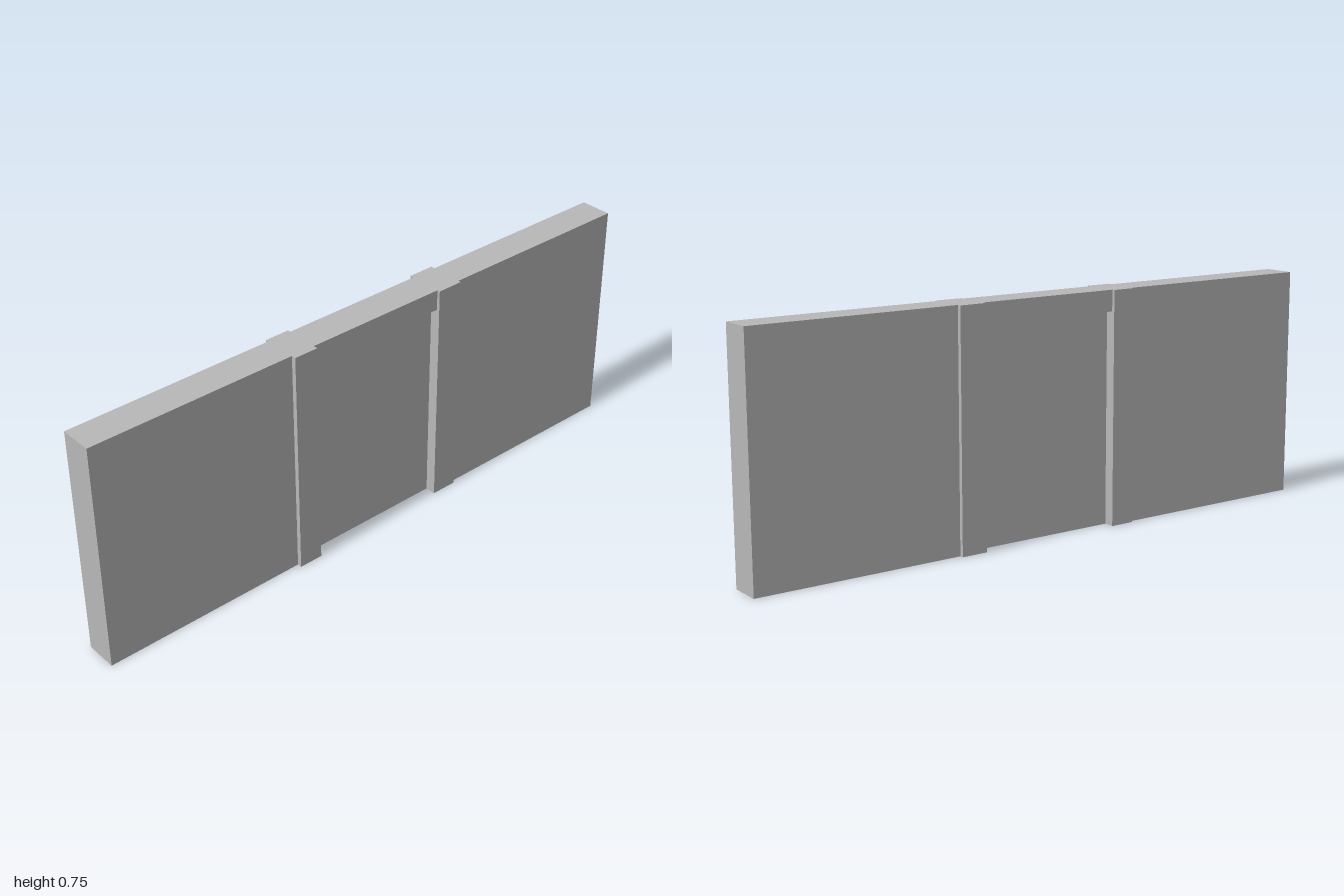
import * as THREE from 'three';

const H = 0.747; // overall height
const LINTEL_Y = 0.68; // underside of the lintel
const JAMB_Z = 0.24; // half width of the doorway
const WALL = [-0.055, 0.05]; // wall faces in x
const DOOR = [-0.03, 0.025]; // recessed door faces in x

export function createModel() {
  const group = new THREE.Group();
  const plaster = new THREE.MeshStandardMaterial({ color: 0xb8b8b8, side: THREE.DoubleSide });
  plaster.name = 'plaster grey';

  // Box from min/max ranges; can be left open underneath
  function block(name, [x0, x1], [y0, y1], [z0, z1], openBottom = false) {
    const geo = new THREE.BoxGeometry(x1 - x0, y1 - y0, z1 - z0);
    if (openBottom) {
      const index = Array.from(geo.index.array);
      index.splice(18, 6); // the -y face
      geo.setIndex(index);
    }
    geo.clearGroups();
    const mesh = new THREE.Mesh(geo, plaster);
    mesh.name = name;
    mesh.position.set((x0 + x1) / 2, (y0 + y1) / 2, (z0 + z1) / 2);
    group.add(mesh);
  }

  // Hollow wall sections either side of the doorway
  block('frontWall', WALL, [0, H], [JAMB_Z, 1], true);
  block('backWall', WALL, [0, H], [-1, -JAMB_Z], true);

  // Lintel and recessed door panel
  block('lintel', WALL, [LINTEL_Y, H], [-JAMB_Z, JAMB_Z]);
  block('doorPanel', DOOR, [0, LINTEL_Y], [-JAMB_Z, JAMB_Z]);

  // Door posts standing proud of both wall faces
  const posts = [
    { name: 'frontPost', z: [JAMB_Z, 0.32], left: 0.065, right: -0.065 },
    { name: 'backPost', z: [-0.327, -JAMB_Z], left: 0.06, right: -0.068 },
  ];
  for (const p of posts) {
    block(p.name + 'Left', [WALL[1], p.left], [0, H], p.z);
    block(p.name + 'Right', [p.right, WALL[0]], [0, H], p.z);
  }
  return group;
}
